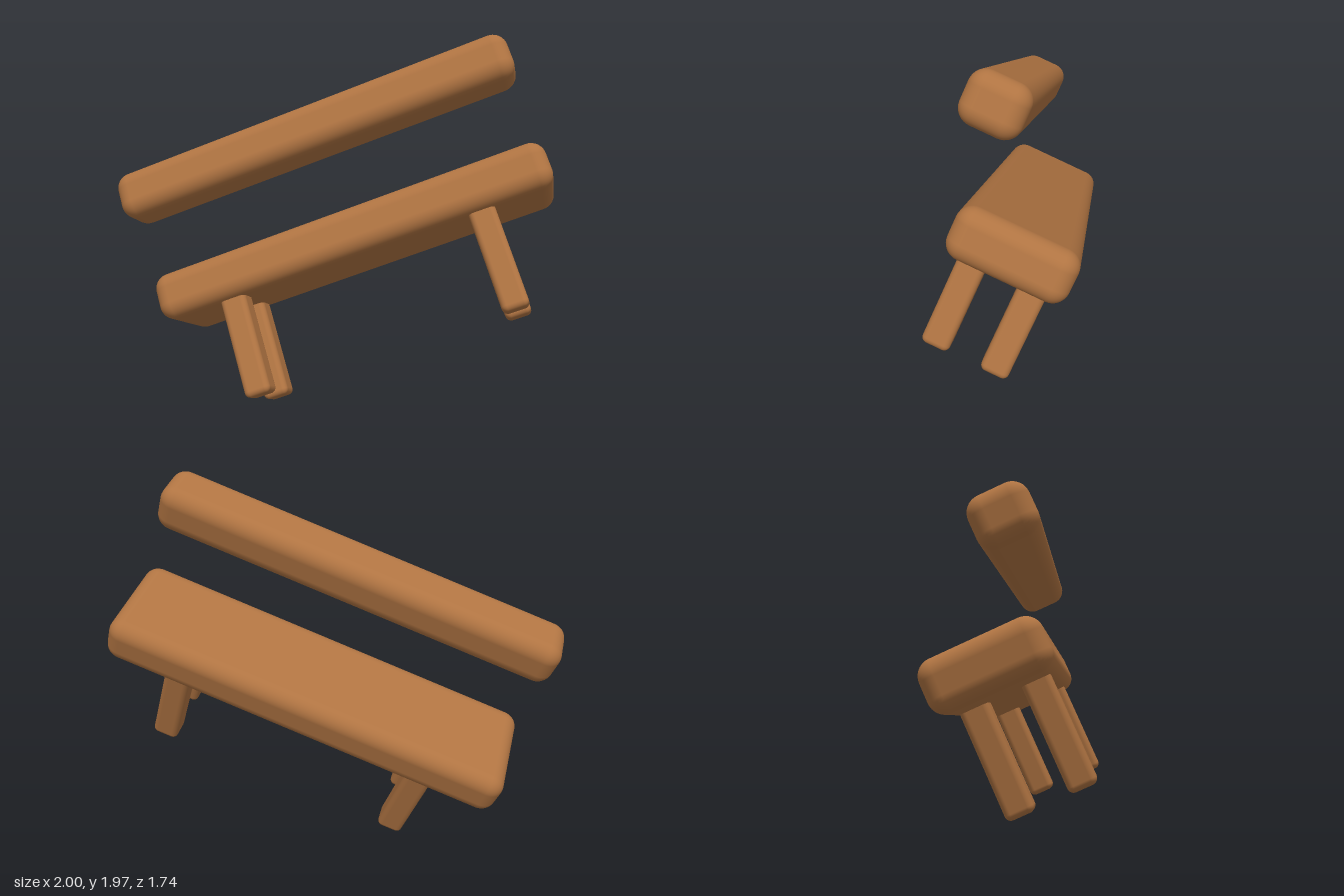
import * as THREE from 'three';
import { RoundedBoxGeometry } from 'three/addons/geometries/RoundedBoxGeometry.js';

export function createModel() {
  const model = new THREE.Group();
  model.name = 'tiltedBench';
  const wood = new THREE.MeshStandardMaterial({ color: 0xb07442 });

  // The bench is built level around the seat centre, then tilted as a whole
  const bench = new THREE.Group();
  bench.name = 'bench';
  bench.position.set(0.065, 0.89, -0.0225);
  bench.rotation.set(-Math.PI / 6, -Math.PI / 4, 0);
  model.add(bench);

  const addBlock = (name, [w, h, d], radius, [x, y, z]) => {
    const mesh = new THREE.Mesh(new RoundedBoxGeometry(w, h, d, 5, radius), wood);
    mesh.name = name;
    mesh.position.set(x, y, z);
    bench.add(mesh);
  };

  // Seat plank and the separate back rail floating above its edge
  addBlock('seat', [2.17, 0.25, 0.57], 0.08, [0, 0, 0]);
  addBlock('backRail', [2.17, 0.25, 0.285], 0.08, [0, 0.544, 0.325]);

  // Four square legs, their tops sunk into the seat
  const bottom = -0.646, top = -0.07;
  for (const sx of [-1, 1]) {
    for (const sz of [-1, 1]) {
      addBlock('leg', [0.14, top - bottom, 0.14], 0.03,
        [sx * 0.688, (top + bottom) / 2, sz * 0.152]);
    }
  }
  return model;
}
